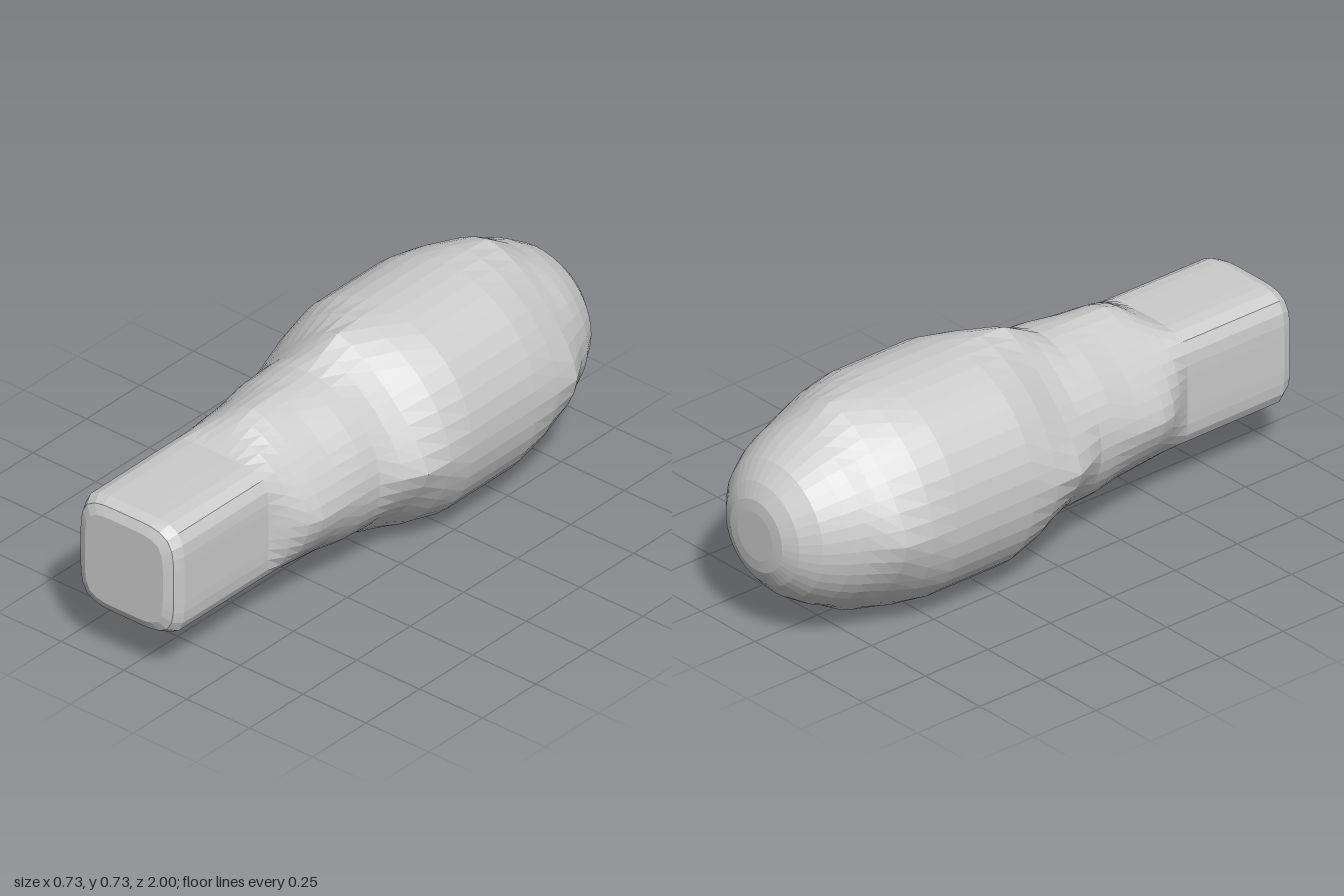
import * as THREE from 'three';

const SEGMENTS = 40;
const CENTRE_Y = 0.365;

// Cross-sections: [z, radius along the axes, radius along the diagonals].
const shaftRows = [
  [1, 0, 0], [1, 0.155, 0.19], [0.985, 0.185, 0.225], [0.95, 0.198, 0.247], [0.56, 0.2, 0.248],
];
// The collar reaches forward in a point on each of the four sides.
const collarRows = [
  [0.56, 0.2, 0.248], [0.5, 0.235, 0.249], [0.45, 0.268, 0.251], [0.4, 0.283, 0.255],
  [0.3, 0.285, 0.263], [0.2, 0.285, 0.28], [0.14, 0.288, 0.283],
];
// The body does the same, then narrows to a rounded rear end.
const bodyRows = [
  [0.14, 0.288, 0.283], [0.07, 0.325, 0.286], [0, 0.36, 0.303], [-0.1, 0.365, 0.345],
  [-0.2, 0.365, 0.37], [-0.5, 0.365, 0.37], [-0.6, 0.365, 0.352], [-0.7, 0.357, 0.32],
  [-0.75, 0.325, 0.302], [-0.8, 0.292, 0.288], [-0.85, 0.27, 0.267], [-0.92, 0.225, 0.225],
  [-0.97, 0.17, 0.17], [-0.995, 0.12, 0.12], [-1, 0.08, 0.08], [-1, 0, 0],
];

// Radius of a superellipse that passes through both given radii.
function radiusAt(angle, axis, diagonal) {
  if (axis === 0) return 0;
  const p = 1 / (0.5 - Math.log2(diagonal / axis));
  const c = Math.abs(Math.cos(angle)), s = Math.abs(Math.sin(angle));
  return axis * Math.pow(Math.pow(c, p) + Math.pow(s, p), -1 / p);
}

// Skin a list of cross-sections running from front to back.
function loft(name, rows, material) {
  const positions = [], indices = [];
  rows.forEach(([z, axis, diagonal]) => {
    for (let i = 0; i < SEGMENTS; i++) {
      const angle = (i / SEGMENTS) * Math.PI * 2;
      const r = radiusAt(angle, axis, diagonal);
      positions.push(r * Math.cos(angle), CENTRE_Y + r * Math.sin(angle), z);
    }
  });
  for (let j = 0; j < rows.length - 1; j++) {
    for (let i = 0; i < SEGMENTS; i++) {
      const next = (i + 1) % SEGMENTS;
      const a = j * SEGMENTS + i, b = j * SEGMENTS + next;
      const c = a + SEGMENTS, d = b + SEGMENTS;
      if (rows[j][1] > 0) indices.push(a, c, b);
      if (rows[j + 1][1] > 0) indices.push(b, c, d);
    }
  }
  const geometry = new THREE.BufferGeometry();
  geometry.setAttribute('position', new THREE.Float32BufferAttribute(positions, 3));
  geometry.setIndex(indices);
  geometry.computeVertexNormals();
  const mesh = new THREE.Mesh(geometry, material);
  mesh.name = name;
  return mesh;
}

export function createModel() {
  const group = new THREE.Group();
  group.name = 'steppedHandle';
  const material = new THREE.MeshStandardMaterial({ color: 0xcccccc, flatShading: true });
  group.add(
    loft('squareShaft', shaftRows, material),
    loft('collar', collarRows, material),
    loft('roundedBody', bodyRows, material),
  );
  return group;
}
